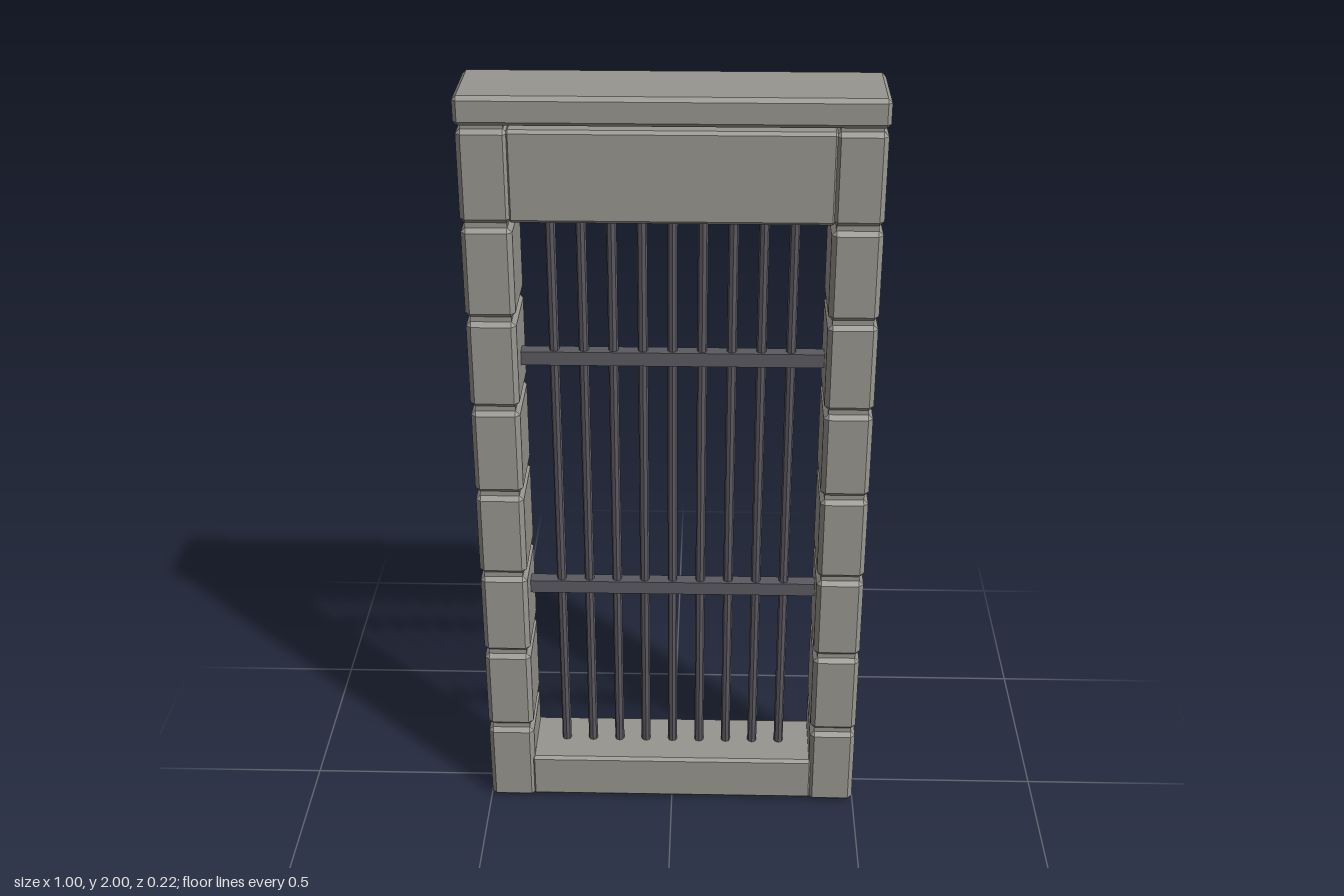
import * as THREE from 'three';
import { ConvexGeometry } from 'three/addons/geometries/ConvexGeometry.js';

// Box with every edge cut at 45 degrees
function chamferBox(w, h, d, c) {
  const x = w / 2, y = h / 2, z = d / 2;
  const points = [];
  for (const sx of [-1, 1]) for (const sy of [-1, 1]) for (const sz of [-1, 1]) {
    points.push(
      new THREE.Vector3(sx * x, sy * (y - c), sz * (z - c)),
      new THREE.Vector3(sx * (x - c), sy * y, sz * (z - c)),
      new THREE.Vector3(sx * (x - c), sy * (y - c), sz * z)
    );
  }
  return new ConvexGeometry(points);
}

export function createModel() {
  const stone = new THREE.MeshStandardMaterial({ color: 0x98968f });
  stone.name = 'stone';
  const iron = new THREE.MeshStandardMaterial({ color: 0x5c5a61, flatShading: true });
  iron.name = 'iron';

  const model = new THREE.Group();
  model.name = 'barredWindow';
  function add(parent, name, geometry, material, x, y, z = 0) {
    const mesh = new THREE.Mesh(geometry, material);
    mesh.name = name;
    mesh.position.set(x, y, z);
    parent.add(mesh);
    return mesh;
  }

  // Side pillars: eight stacked blocks around a slightly narrower core
  const blockHeight = 0.23, pitch = 0.2412;
  const blockGeometry = chamferBox(0.122, blockHeight, 0.2, 0.012);
  const coreGeometry = new THREE.BoxGeometry(0.1, 1.93, 0.178);
  for (const side of [-1, 1]) {
    const pillar = new THREE.Group();
    pillar.name = side > 0 ? 'leftPillar' : 'rightPillar';
    pillar.position.x = side * 0.437;
    model.add(pillar);
    add(pillar, 'pillarCore', coreGeometry, stone, 0, 0.97);
    for (let i = 0; i < 8; i++) {
      add(pillar, 'pillarBlock', blockGeometry, stone, 0, blockHeight / 2 + i * pitch);
    }
  }

  // Capstone, lintel and sill
  add(model, 'capstone', chamferBox(1, 0.07, 0.224, 0.01), stone, 0, 1.965);
  add(model, 'lintel', chamferBox(0.77, 0.226, 0.192, 0.008), stone, 0, 1.803);
  add(model, 'sill', chamferBox(0.77, 0.128, 0.192, 0.008), stone, 0, 0.069);

  // Upright bars
  const grille = new THREE.Group();
  grille.name = 'grille';
  model.add(grille);
  const barGeometry = new THREE.CylinderGeometry(0.0125, 0.0125, 1.6, 8);
  for (let i = -4; i <= 4; i++) {
    add(grille, 'uprightBar', barGeometry, iron, i * 0.0735, 0.91);
  }

  // Cross rails
  const railGeometry = new THREE.BoxGeometry(0.76, 0.036, 0.036);
  for (const y of [0.637, 1.305]) add(grille, 'crossRail', railGeometry, iron, 0, y);

  return model;
}
